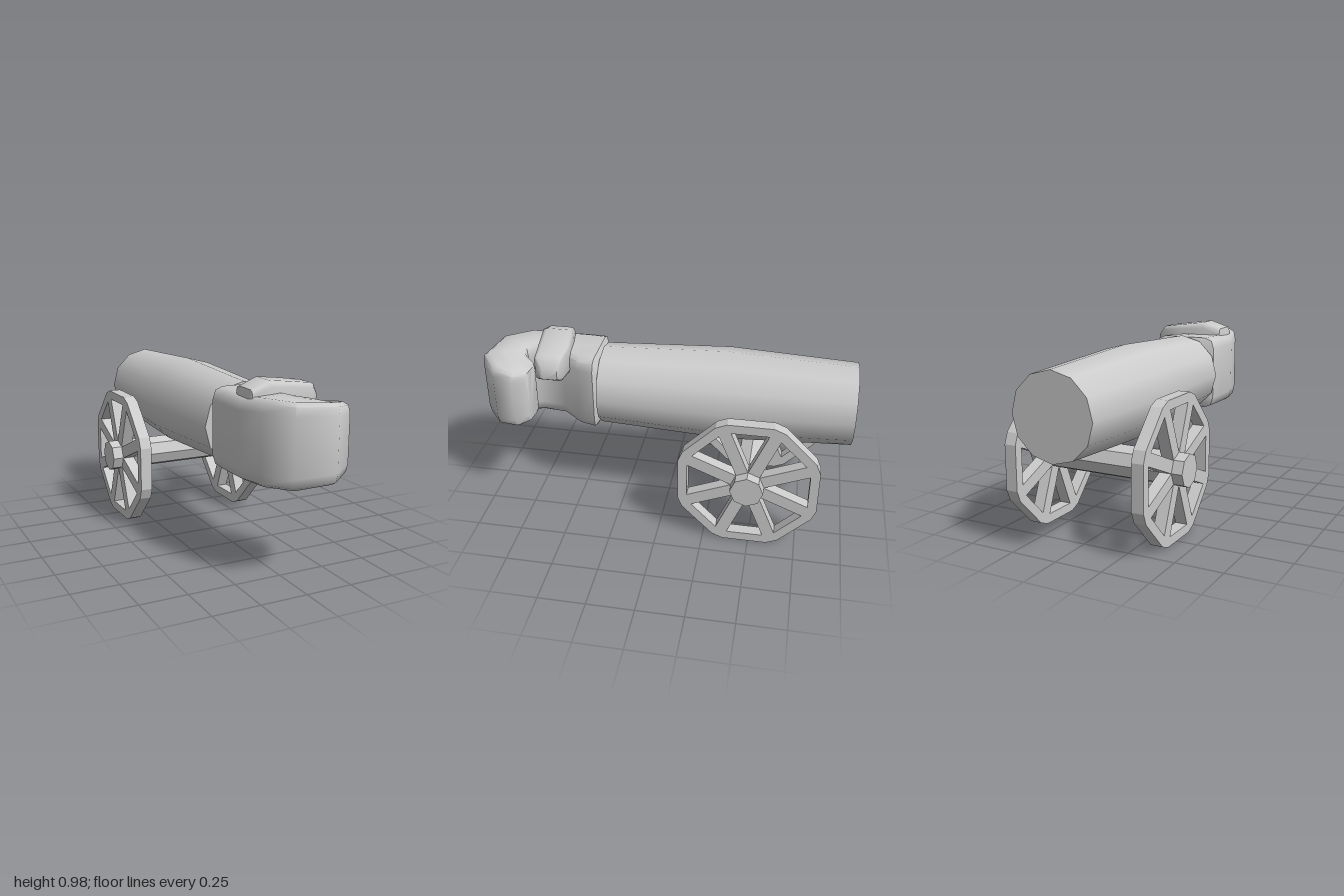
import * as THREE from 'three';
import { toCreasedNormals } from 'three/addons/utils/BufferGeometryUtils.js';

const smooth = new THREE.MeshStandardMaterial({ color: 0xcccccc });
const flat = new THREE.MeshStandardMaterial({ color: 0xcccccc, flatShading: true });

function part(name, geometry, material, parent) {
  const mesh = new THREE.Mesh(geometry, material);
  mesh.name = name;
  parent.add(mesh);
  return mesh;
}

// Chamfered cross-section: u runs from the outer edge to the inner, v from bottom to top
const SECTION = [
  [0.15, 0], [0.5, 0], [0.85, 0], [0.96, 0.04], [1, 0.15], [1, 0.5], [1, 0.85], [0.96, 0.96],
  [0.85, 1], [0.5, 1], [0.15, 1], [0.04, 0.96], [0, 0.85], [0, 0.5], [0, 0.15], [0.04, 0.04],
];

// Closed skin through rows of [outerX, outerZ, innerX, innerZ, bottomY, topY]
function loft(rows) {
  const n = SECTION.length, pos = [], index = [];
  for (const [ox, oz, ix, iz, yb, yt] of rows) {
    for (const [u, v] of SECTION) {
      pos.push(ox + (ix - ox) * u, yb + (yt - yb) * v, oz + (iz - oz) * u);
    }
  }
  for (let r = 0; r < rows.length - 1; r++) {
    for (let i = 0; i < n; i++) {
      const a = r * n + i, b = r * n + (i + 1) % n;
      index.push(a, b, a + n, b, b + n, a + n);
    }
  }
  const last = (rows.length - 1) * n;
  for (let i = 1; i < n - 1; i++) {
    index.push(0, i + 1, i, last, last + i, last + i + 1);
  }
  const g = new THREE.BufferGeometry();
  g.setAttribute('position', new THREE.Float32BufferAttribute(pos, 3));
  g.setIndex(index);
  return toCreasedNormals(g, 1.0);
}

// Octagonal wheel with clipped corners and eight parallel-sided spokes
function wheelGeometry(depth) {
  const rim = [], apothem = 0.369, halfFlat = 0.119;
  const inner = 0.32, spokeHalf = 0.033;
  const shape = new THREE.Shape();
  for (let k = 0; k < 8; k++) {
    const a = k * Math.PI / 4;
    const at = (r, s) => new THREE.Vector2(
      r * Math.cos(a) - s * Math.sin(a), r * Math.sin(a) + s * Math.cos(a));
    rim.push(at(apothem, -halfFlat), at(apothem, halfFlat));
    const t = Math.tan(Math.PI / 8), gap = spokeHalf / Math.cos(Math.PI / 8);
    const w = inner * t - gap, tip = gap / t;
    shape.holes.push(new THREE.Path([at(tip, 0), at(inner, w), at(inner, -w)]));
  }
  shape.setFromPoints(rim);
  const g = new THREE.ExtrudeGeometry(shape, { depth, bevelEnabled: false });
  return g.translate(0, 0, -depth / 2).rotateY(Math.PI / 2);
}

// Twelve-sided barrel that swells at mid-length
function barrelGeometry() {
  const g = new THREE.CylinderGeometry(0.22, 0.22, 1.36, 12, 2);
  const p = g.attributes.position;
  for (let i = 0; i < p.count; i++) {
    if (Math.abs(p.getY(i)) < 0.01) p.setXYZ(i, p.getX(i) * 0.25 / 0.22, 0, p.getZ(i) * 0.25 / 0.22);
  }
  return g.rotateX(Math.PI / 2);
}

export function createModel() {
  const model = new THREE.Group();
  model.name = 'fistCannon';

  part('barrel', barrelGeometry(), smooth, model).position.set(0, 0.695, -0.32);

  // Axle and wheels
  const axle = new THREE.CylinderGeometry(0.0875, 0.0875, 0.895, 8).rotateZ(Math.PI / 2);
  part('axle', axle, flat, model).position.set(0, 0.37, -0.48);
  const wheel = wheelGeometry(0.065);
  for (const side of [1, -1]) {
    part(side > 0 ? 'leftWheel' : 'rightWheel', wheel, flat, model)
      .position.set(side * 0.357, 0.369, -0.48);
  }

  // Fist: wrist, palm, then fingers curling round to the left
  const fist = new THREE.Group();
  fist.name = 'fist';
  model.add(fist);
  part('palmAndFingers', loft([
    [-0.11, 0.34, 0.13, 0.34, 0.55, 0.83],
    [-0.19, 0.385, 0.18, 0.385, 0.49, 0.905],
    [-0.195, 0.48, 0.155, 0.475, 0.49, 0.905],
    [-0.19, 0.66, 0.06, 0.58, 0.49, 0.9],
    [-0.155, 0.81, 0.04, 0.71, 0.49, 0.915],
    [-0.06, 0.955, 0.065, 0.77, 0.495, 0.91],
    [0.15, 0.995, 0.09, 0.77, 0.51, 0.9],
    [0.275, 0.9, 0.105, 0.745, 0.525, 0.88],
    [0.31, 0.79, 0.12, 0.72, 0.54, 0.865],
    [0.265, 0.725, 0.14, 0.712, 0.56, 0.845],
  ]), smooth, fist);

  // Thumb lying across the top of the palm
  part('thumb', loft([
    [-0.165, 0.7, -0.165, 0.6, 0.74, 0.87],
    [-0.15, 0.72, -0.15, 0.56, 0.74, 0.94],
    [-0.045, 0.715, -0.045, 0.54, 0.76, 0.975],
    [0.09, 0.7, 0.09, 0.525, 0.79, 0.957],
    [0.21, 0.685, 0.21, 0.535, 0.8, 0.94],
    [0.25, 0.65, 0.25, 0.555, 0.825, 0.89],
  ]), smooth, fist);

  return model;
}
